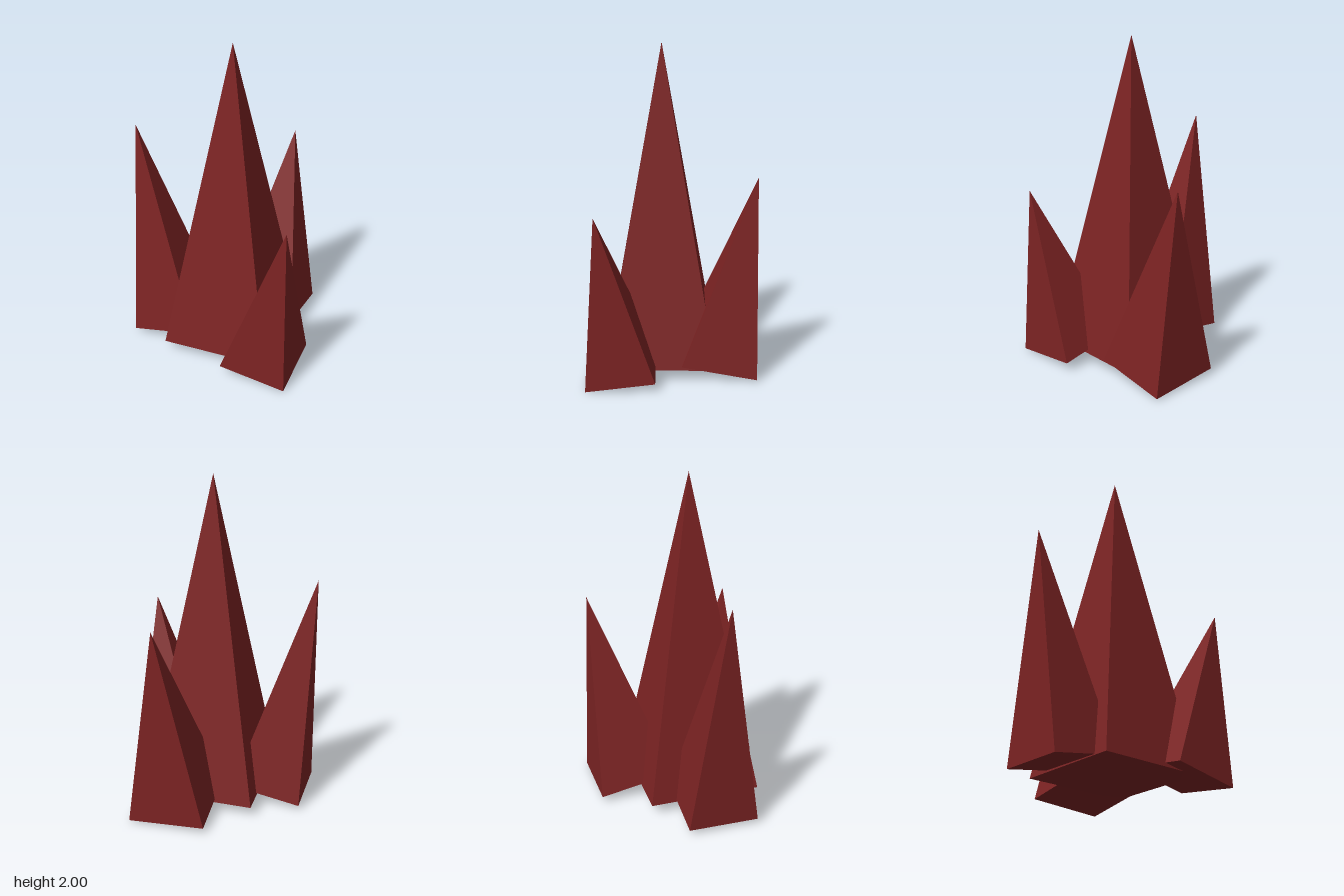
import * as THREE from 'three';

export function createModel() {
  const group = new THREE.Group();
  const darkRed = new THREE.MeshStandardMaterial({ color: 0x7c2323, flatShading: true });
  darkRed.name = 'darkRed';

  // Four-sided spike leaning from its base centre to its tip
  function addSpike(name, radius, base, tip) {
    const from = new THREE.Vector3(...base);
    const axis = new THREE.Vector3(...tip).sub(from);
    const height = axis.length();
    const geometry = new THREE.ConeGeometry(radius, height, 4);
    geometry.translate(0, height / 2, 0);
    const spike = new THREE.Mesh(geometry, darkRed);
    spike.name = name;
    spike.position.copy(from);
    spike.quaternion.setFromUnitVectors(new THREE.Vector3(0, 1, 0), axis.normalize());
    group.add(spike);
  }

  // Tall upright spike in the middle
  addSpike('centreSpike', 0.474, [-0.036, 0.07, -0.061], [-0.036, 2, -0.061]);
  // Shorter spikes leaning outwards around it
  addSpike('backRightSpike', 0.298, [-0.33, 0.07, -0.315], [-0.505, 1.41, -0.463]);
  addSpike('backLeftSpike', 0.325, [0.3, 0.07, -0.232], [0.502, 1.24, -0.33]);
  addSpike('frontSpike', 0.296, [0.005, 0.07, 0.316], [0.031, 1.073, 0.543]);

  return group;
}
